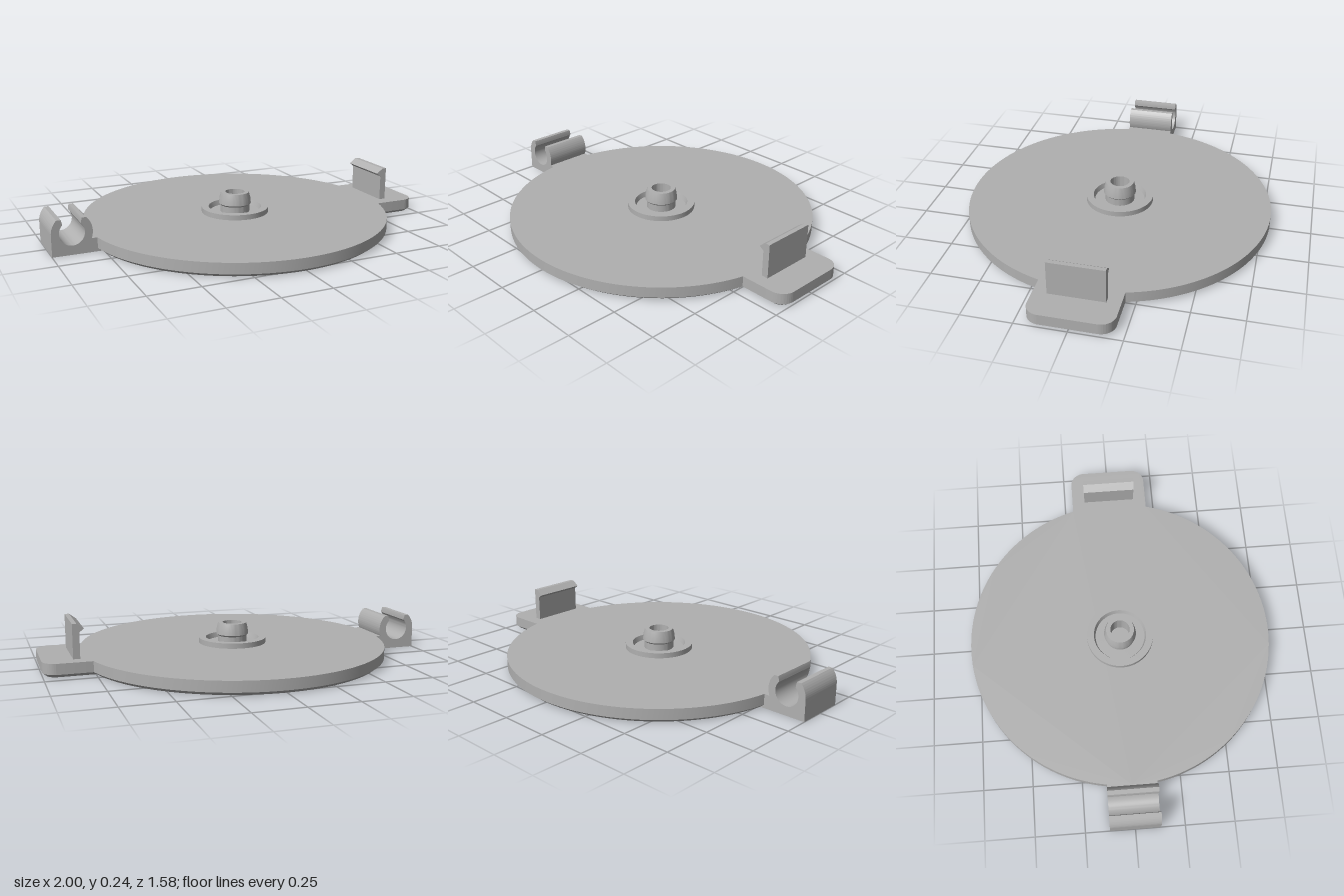
import * as THREE from 'three';
import { toCreasedNormals } from 'three/addons/utils/BufferGeometryUtils.js';

const PLATE_TOP = 0.07;

// Disc with a rounded tab on +x, shrunk by an inset
function plateOutline(inset) {
  const R = 0.79 - inset, w = 0.205 - inset, corner = 0.07;
  const a = Math.asin(w / R), r = corner - inset;
  const s = new THREE.Shape();
  s.absarc(0, 0, R, a, Math.PI * 2 - a, false);
  s.absarc(1 - corner, corner - 0.205, r, -Math.PI / 2, 0, false);
  s.absarc(1 - corner, 0.205 - corner, r, 0, Math.PI / 2, false);
  return s.getPoints(64);
}

// Stacked outlines with caps: chamfered underside, straight wall above
function plateGeometry() {
  const levels = [[0, 0.02], [0.016, 0], [PLATE_TOP, 0]];
  const rings = levels.map(([, inset]) => plateOutline(inset));
  const n = rings[0].length, pos = [], idx = [];
  rings.forEach((ring, j) => ring.forEach(p => pos.push(p.x, levels[j][0], -p.y)));
  for (let j = 0; j < rings.length - 1; j++) {
    for (let i = 0; i < n; i++) {
      const k = (i + 1) % n, a = j * n + i, b = j * n + k;
      idx.push(a, b, b + n, a, b + n, a + n);
    }
  }
  const top = (rings.length - 1) * n;
  for (const [a, b, c] of THREE.ShapeUtils.triangulateShape(rings[2], [])) {
    idx.push(top + a, top + b, top + c);
  }
  for (const [a, b, c] of THREE.ShapeUtils.triangulateShape(rings[0], [])) {
    idx.push(a, c, b);
  }
  const g = new THREE.BufferGeometry();
  g.setAttribute('position', new THREE.Float32BufferAttribute(pos, 3));
  g.setIndex(idx);
  return g;
}

// Side profile extruded along z and centred
function extrudeAcross(shape, width) {
  const g = new THREE.ExtrudeGeometry(shape, { depth: width, bevelEnabled: false, curveSegments: 20 });
  return g.translate(0, 0, -width / 2);
}

// Open C-shaped hinge clip on a square foot
function clipShape() {
  const cx = -0.9, cy = 0.108, R = 0.1, r = 0.062;
  const s = new THREE.Shape();
  s.moveTo(-1, 0);
  s.lineTo(-0.76, 0);
  s.lineTo(-0.76, PLATE_TOP);
  s.absarc(cx, cy, R, -0.39, 0.775, false);
  s.lineTo(-0.85, 0.178);
  s.lineTo(-0.855, 0.16);
  s.absarc(cx, cy, r, 0.76, Math.PI - 0.76, true);
  s.lineTo(-0.945, 0.16);
  s.lineTo(-0.95, 0.178);
  s.absarc(cx, cy, R, Math.PI - 0.775, Math.PI, false);
  s.closePath();
  return s;
}

const toPoints = list => list.map(([x, y]) => new THREE.Vector2(x, y));

export function createModel() {
  const model = new THREE.Group();
  model.name = 'hingedCover';
  const grey = new THREE.MeshStandardMaterial({ color: 0xb0b0b0 });
  grey.name = 'grey plastic';

  const add = (name, geometry) => {
    const mesh = new THREE.Mesh(toCreasedNormals(geometry, 0.45), grey);
    mesh.name = name;
    model.add(mesh);
  };

  add('coverPlate', plateGeometry());
  add('hingeClip', extrudeAcross(clipShape(), 0.254));

  // Upright latch with its barb facing the centre
  add('latchHook', extrudeAcross(new THREE.Shape(toPoints([
    [0.816, 0.07], [0.85, 0.07], [0.85, 0.243], [0.828, 0.243],
    [0.793, 0.217], [0.816, 0.2],
  ])), 0.275));

  // Raised collar, groove and hollow snap post
  add('centreBoss', new THREE.LatheGeometry(toPoints([
    [0.175, 0.07], [0.175, 0.097], [0.138, 0.097], [0.13, 0.071],
    [0.076, 0.071], [0.076, 0.108], [0.084, 0.116], [0.081, 0.145],
    [0.073, 0.175], [0.05, 0.175], [0.05, 0.071], [0, 0.071],
  ]), 64));

  return model;
}
